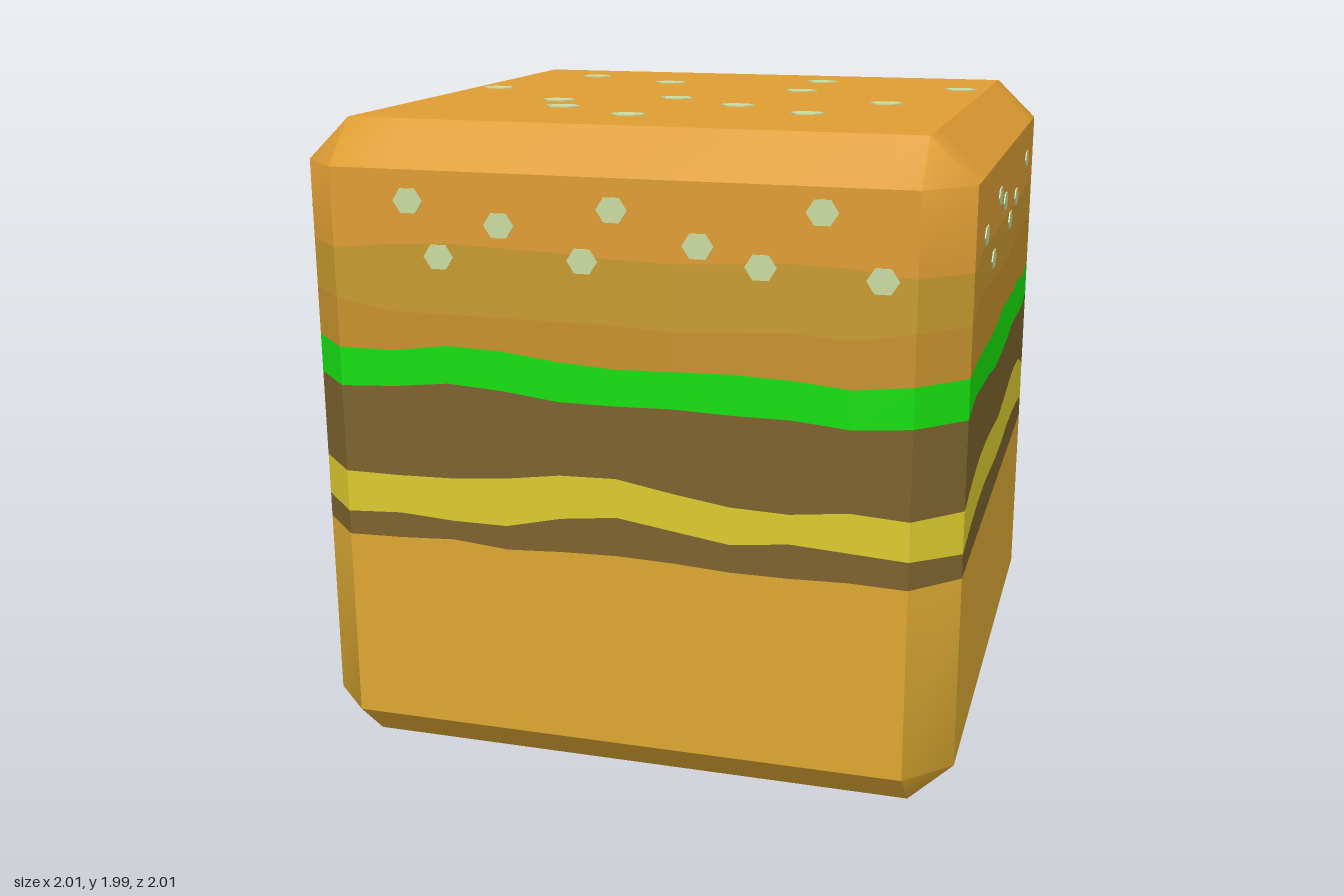
import * as THREE from 'three';
import { toCreasedNormals } from 'three/addons/utils/BufferGeometryUtils.js';

const INNER = 0.865;             // half-width of each flat face
const TOP = 1.99, BEVEL = 0.13;
const N = 11;                    // sample points along each side

// wavy layer boundaries: [front and back, right and left]
const BOUNDS = {
  lowerBun: [
    [0.725, 0.73, 0.74, 0.725, 0.735, 0.74, 0.735, 0.725, 0.725, 0.73, 0.725],
    [0.725, 0.725, 0.725, 0.725, 0.725, 0.725, 0.725, 0.725, 0.725, 0.725, 0.725]],
  cheeseLow: [
    [0.80, 0.81, 0.80, 0.80, 0.84, 0.86, 0.835, 0.81, 0.83, 0.82, 0.81],
    [0.80, 0.825, 0.84, 0.845, 0.835, 0.825, 0.825, 0.835, 0.83, 0.82, 0.80]],
  cheeseHigh: [
    [0.93, 0.93, 0.935, 0.95, 0.975, 0.98, 0.95, 0.925, 0.92, 0.94, 0.93],
    [0.93, 0.965, 0.985, 0.985, 0.975, 0.96, 0.97, 0.99, 1.0, 0.99, 0.93]],
  lettuceLow: [
    [1.20, 1.21, 1.23, 1.22, 1.20, 1.20, 1.205, 1.20, 1.20, 1.185, 1.20],
    [1.20, 1.225, 1.21, 1.20, 1.175, 1.175, 1.18, 1.195, 1.19, 1.18, 1.20]],
  lettuceHigh: [
    [1.32, 1.32, 1.345, 1.34, 1.32, 1.31, 1.315, 1.32, 1.315, 1.30, 1.32],
    [1.32, 1.33, 1.325, 1.315, 1.32, 1.335, 1.325, 1.32, 1.325, 1.30, 1.32]],
  glazeLow: [
    [1.47, 1.44, 1.44, 1.44, 1.44, 1.44, 1.43, 1.44, 1.45, 1.44, 1.47],
    [1.47, 1.52, 1.51, 1.50, 1.49, 1.49, 1.49, 1.50, 1.51, 1.52, 1.47]],
  glazeHigh: [
    [1.62, 1.64, 1.65, 1.645, 1.64, 1.63, 1.625, 1.635, 1.645, 1.64, 1.62],
    [1.62, 1.65, 1.65, 1.645, 1.64, 1.64, 1.635, 1.63, 1.63, 1.64, 1.62]],
};

// closed ring of points around the four sides; scale 0 gives the centre
function ring(height, reach = 1, scale = 1) {
  const points = [];
  for (let side = 0; side < 4; side++) {
    const c = Math.round(Math.cos(side * Math.PI / 2));
    const s = Math.round(Math.sin(side * Math.PI / 2));
    for (let i = 0; i < N; i++) {
      const u = INNER * (i / (N - 1) * 2 - 1) * scale;
      const y = typeof height === 'number' ? height : height[side % 2][i];
      points.push(new THREE.Vector3(u * c + reach * s, y, reach * c - u * s));
    }
  }
  return points;
}

// skin stretched over a stack of rings, listed from bottom to top
function loft(rings) {
  const pos = [];
  const tri = (a, b, c) => {
    if (a.distanceTo(b) < 1e-5 || b.distanceTo(c) < 1e-5 || c.distanceTo(a) < 1e-5) return;
    for (const p of [a, b, c]) pos.push(p.x, p.y, p.z);
  };
  for (let r = 0; r < rings.length - 1; r++) {
    const lo = rings[r], hi = rings[r + 1];
    for (let i = 0; i < lo.length; i++) {
      const j = (i + 1) % lo.length;
      tri(lo[i], lo[j], hi[j]);
      tri(lo[i], hi[j], hi[i]);
    }
  }
  const geo = new THREE.BufferGeometry();
  geo.setAttribute('position', new THREE.Float32BufferAttribute(pos, 3));
  return toCreasedNormals(geo, THREE.MathUtils.degToRad(40));
}

// seed positions on each face, as [across, up]
const SEEDS = {
  front: [[-0.62, 1.77], [-0.53, 1.61], [-0.34, 1.71], [-0.09, 1.62], [0, 1.77],
    [0.25, 1.68], [0.43, 1.63], [0.6, 1.79], [0.77, 1.61]],
  right: [[-0.61, 1.68], [-0.39, 1.57], [-0.26, 1.74], [-0.1, 1.7], [0.08, 1.61],
    [0.26, 1.66], [0.61, 1.74]],
  back: [[-0.62, 1.67], [-0.52, 1.5], [-0.35, 1.69], [-0.09, 1.59], [-0.08, 1.76],
    [0.3, 1.73], [0.43, 1.65], [0.6, 1.54], [0.77, 1.72]],
  left: [[-0.76, 1.76], [-0.75, 1.55], [-0.58, 1.66], [-0.45, 1.73], [-0.21, 1.6],
    [-0.09, 1.7], [0.46, 1.75], [0.6, 1.55], [0.72, 1.63], [0.82, 1.72]],
  top: [[-0.6, 0.61], [0.26, 0.61], [-0.26, 0.44], [0.78, 0.44], [0.26, 0.26],
    [-0.78, 0.09], [-0.08, -0.09], [0.61, -0.08], [-0.43, -0.25], [0.17, -0.26],
    [-0.35, -0.43], [0.43, -0.43], [-0.08, -0.6]],
};

export function createModel() {
  const model = new THREE.Group();
  model.name = 'cubeBurger';

  const addLayer = (name, color, ...rings) => {
    const mesh = new THREE.Mesh(loft(rings), new THREE.MeshStandardMaterial({ color }));
    mesh.name = name;
    model.add(mesh);
  };
  const b = Object.fromEntries(Object.entries(BOUNDS).map(([k, h]) => [k, ring(h)]));

  // layers from the bottom up, with bevelled buns at both ends
  addLayer('bottomBun', 0xdca832,
    ring(0, 0, 0), ring(0, INNER), ring(BEVEL), b.lowerBun);
  addLayer('lowerPatty', 0x7c622e, b.lowerBun, b.cheeseLow);
  addLayer('cheese', 0xdccb2e, b.cheeseLow, b.cheeseHigh);
  addLayer('patty', 0x7c622e, b.cheeseHigh, b.lettuceLow);
  addLayer('lettuce', 0x16e010, b.lettuceLow, b.lettuceHigh);
  addLayer('topBunBase', 0xc8912e, b.lettuceHigh, b.glazeLow);
  addLayer('topBunMiddle', 0xc89a30, b.glazeLow, b.glazeHigh);
  addLayer('topBun', 0xde9d33,
    b.glazeHigh, ring(TOP - BEVEL), ring(TOP, INNER), ring(TOP, 0, 0));

  // thin hexagonal sesame seeds
  const seedGeo = new THREE.CylinderGeometry(0.05, 0.05, 0.01, 6)
    .rotateY(Math.PI / 6).rotateX(Math.PI / 2);
  const seedMat = new THREE.MeshStandardMaterial({ color: 0xcadba0, flatShading: true });
  const addSeeds = (face, turn, tilt, reach, width, height) => {
    const group = new THREE.Group();
    group.name = face + 'Seeds';
    for (const [x, y] of SEEDS[face]) {
      const seed = new THREE.Mesh(seedGeo, seedMat);
      seed.name = 'seed';
      seed.position.set(x, y, reach - 0.001);
      seed.scale.set(width, height, 1);
      group.add(seed);
    }
    group.rotation.set(tilt, turn, 0);
    model.add(group);
  };
  addSeeds('front', 0, 0, 1, 0.92, 0.82);
  addSeeds('right', Math.PI / 2, 0, 1, 1.05, 0.6);
  addSeeds('back', Math.PI, 0, 1, 0.92, 0.7);
  addSeeds('left', -Math.PI / 2, 0, 1, 0.85, 0.7);
  addSeeds('top', 0, -Math.PI / 2, TOP, 1.1, 0.8);

  return model;
}
